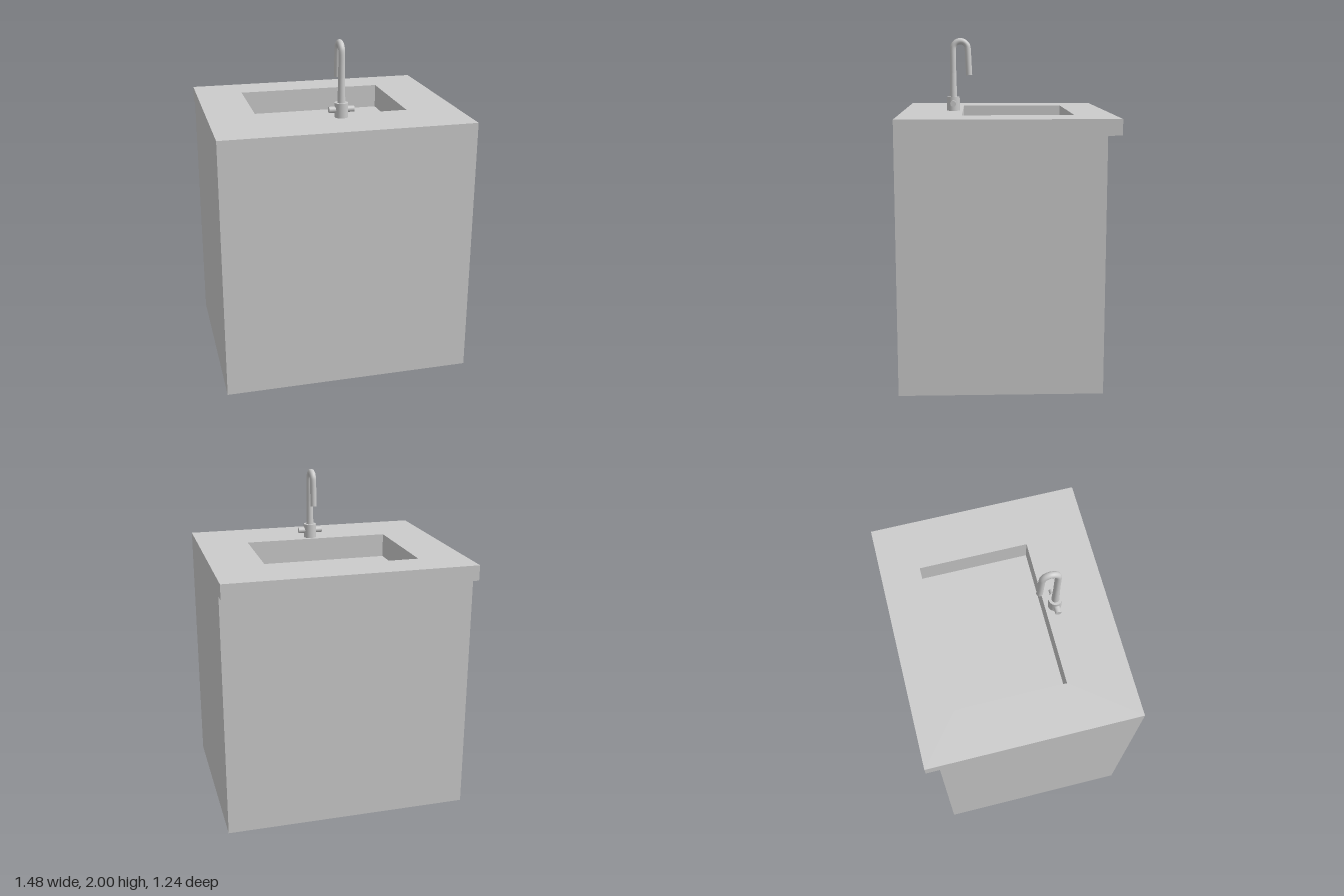
import * as THREE from 'three';

const material = new THREE.MeshStandardMaterial({ color: 0xcccccc });
const flat = new THREE.MeshStandardMaterial({ color: 0xcccccc, flatShading: true });

function part(parent, name, geometry, mat = material) {
  const mesh = new THREE.Mesh(geometry, mat);
  mesh.name = name;
  parent.add(mesh);
  return mesh;
}

// Joins rectangular rings [x0, x1, z0, z1, y] into one faceted surface, skipping empty faces.
function loft(rings) {
  const corners = rings.map(([x0, x1, z0, z1, y]) =>
    [[x0, z1], [x1, z1], [x1, z0], [x0, z0]].map(([x, z]) => new THREE.Vector3(x, y, z)));
  const points = [];
  const addTriangle = (a, b, c) => {
    if (new THREE.Triangle(a, b, c).getArea() > 1e-6) points.push(a, b, c);
  };
  for (let r = 0; r < rings.length - 1; r++) {
    for (let i = 0; i < 4; i++) {
      const j = (i + 1) % 4;
      const [a, b] = [corners[r], corners[r + 1]];
      addTriangle(a[i], b[i], b[j]);
      addTriangle(a[i], b[j], a[j]);
    }
  }
  const geometry = new THREE.BufferGeometry().setFromPoints(points);
  geometry.computeVertexNormals();
  return geometry;
}

export function createModel() {
  const model = new THREE.Group();
  model.name = 'sinkCabinet';

  const top = 1.56, under = 1.47, floor = 1.415;
  const basin = [-0.455, 0.435, -0.39, 0.255];
  const counter = [-0.74, 0.74, -0.62, 0.62];
  const cabinet = [-0.74, 0.74, -0.54, 0.62];
  const centre = [0, 0, 0, 0];

  // Sunken basin, countertop with a lip along one edge, and the cabinet below
  part(model, 'basin', loft([[...centre, floor], [...basin, floor], [...basin, top]]), flat);
  part(model, 'countertop', loft([[...basin, top], [...counter, top], [...counter, under], [...cabinet, under]]), flat);
  part(model, 'cabinet', loft([[...cabinet, under], [...cabinet, 0], [...centre, 0]]), flat);

  // Tap, with its origin on the countertop
  const tap = new THREE.Group();
  tap.name = 'tap';
  tap.position.set(0.02, top, 0.313);
  model.add(tap);

  part(tap, 'tapBody', new THREE.CylinderGeometry(0.039, 0.039, 0.085, 32)).position.y = 0.0425;
  part(tap, 'tapStem', new THREE.CylinderGeometry(0.019, 0.023, 0.15, 24)).position.y = 0.155;
  for (const side of [-1, 1]) {
    const handle = part(tap, side > 0 ? 'leftHandle' : 'rightHandle',
      new THREE.CylinderGeometry(0.018, 0.018, 0.045, 20));
    handle.rotation.z = Math.PI / 2;
    handle.position.set(side * 0.0525, 0.045, 0);
  }

  // Hooked spout: straight rise, half-circle arch, slightly slanted drop
  const radius = 0.019, bend = 0.045, archY = 0.376;
  const path = [new THREE.Vector3(0, 0.22, 0), new THREE.Vector3(0, 0.3, 0)];
  for (let i = 0; i <= 10; i++) {
    const a = (i / 10) * Math.PI;
    path.push(new THREE.Vector3(0, archY + bend * Math.sin(a), bend * (Math.cos(a) - 1)));
  }
  path.push(new THREE.Vector3(0, 0.3, -0.094), new THREE.Vector3(0, 0.216, -0.098));
  const curve = new THREE.CatmullRomCurve3(path);
  part(tap, 'spout', new THREE.TubeGeometry(curve, 64, radius, 20));
  const outlet = part(tap, 'spoutOutlet', new THREE.CircleGeometry(radius, 20));
  outlet.position.copy(curve.getPoint(1));
  outlet.quaternion.setFromUnitVectors(new THREE.Vector3(0, 0, 1), curve.getTangent(1));

  return model;
}
